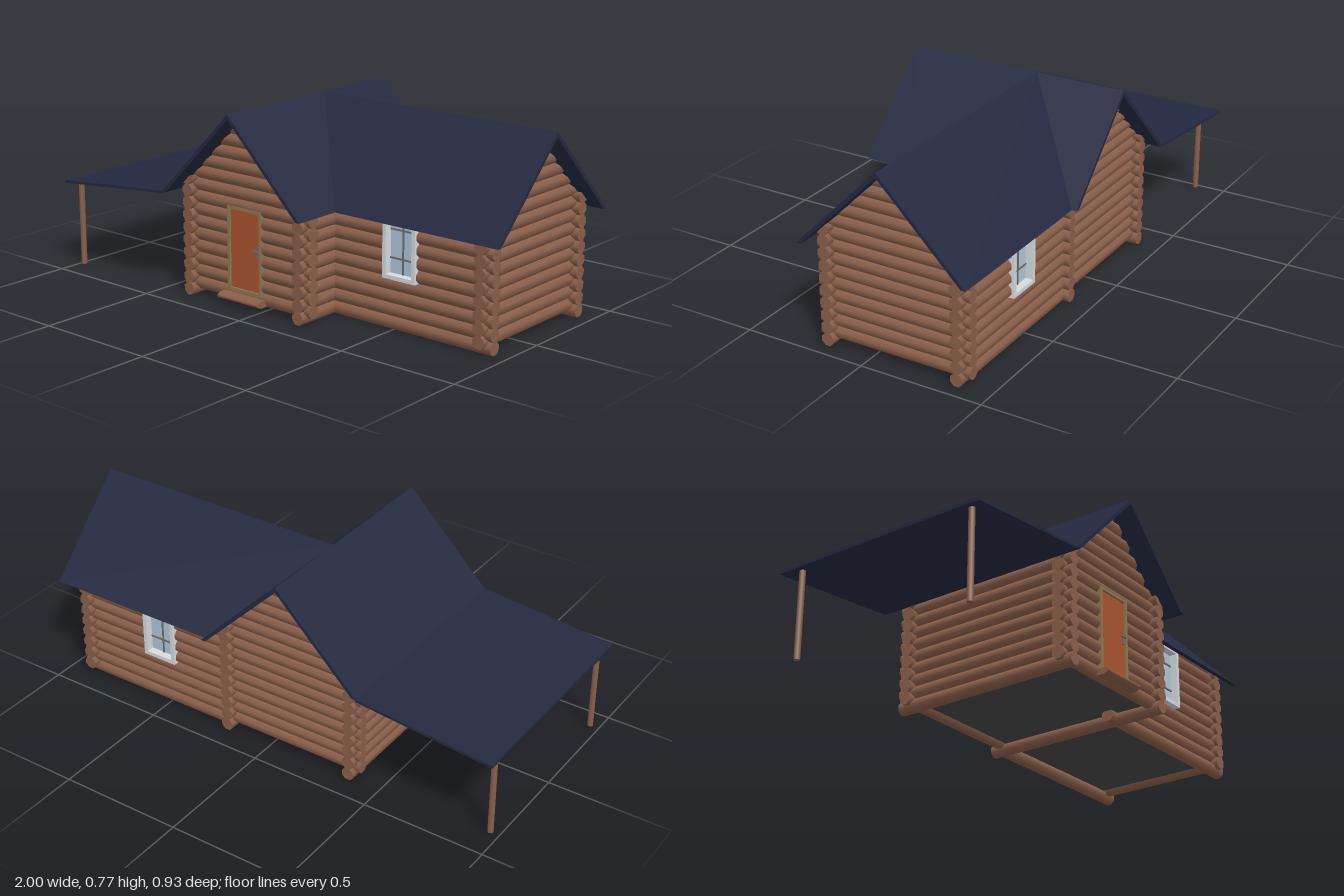
import * as THREE from 'three';

const mat = color => new THREE.MeshStandardMaterial({ color });
const wood = mat(0x8a5f4a), roofMat = mat(0x242940), floorMat = mat(0x484848);
const doorMat = mat(0xab5430), trim = mat(0x8f7a52), frameMat = mat(0xd8dcdf);
const glassMat = mat(0xb0c8dc), barMat = mat(0x6f6a62), metal = mat(0x6a6d72);

const R = 0.0268, STEP = 0.05;
const RIDGE = 0.775, EAVE = 0.422, T = 0.02, UNDER = RIDGE - T;
const AX = -0.083, BZ = -0.09; // ridge lines of the main house and the wing

function add(parent, name, geo, material, x = 0, y = 0, z = 0) {
  const m = new THREE.Mesh(geo, material);
  m.name = name;
  m.position.set(x, y, z);
  parent.add(m);
  return m;
}

const box = (parent, name, material, w, h, d, x, y, z) =>
  add(parent, name, new THREE.BoxGeometry(w, h, d), material, x, y, z);

// One log from a to b along an axis, trimmed to stay under the roof slope
function log(parent, axis, a, b, y, off, ridge, gable) {
  const geo = new THREE.CylinderGeometry(R, R, b - a, 8, 1, false, Math.PI / 8);
  if (axis === 'x') geo.rotateZ(Math.PI / 2); else geo.rotateX(Math.PI / 2);
  const mid = (a + b) / 2;
  if (axis === 'x') geo.translate(mid, y, off); else geo.translate(off, y, mid);
  const p = geo.attributes.position;
  for (let i = 0; i < p.count; i++) {
    const across = gable === (axis === 'x') ? p.getX(i) : p.getZ(i);
    const d = across - ridge;
    if (gable) {
      const half = Math.max(0, UNDER - p.getY(i));
      const c = ridge + THREE.MathUtils.clamp(d, -half, half);
      if (axis === 'x') p.setX(i, c); else p.setZ(i, c);
      p.setY(i, Math.min(p.getY(i), UNDER));
    } else {
      p.setY(i, Math.min(p.getY(i), UNDER - Math.abs(d)));
    }
  }
  add(parent, 'log', geo, wood);
}

// Stack of logs up to the peak or the eave; gap = [from, to, first row, last row]
function wall(parent, name, gable, axis, a, b, off, ridge, gap) {
  const g = new THREE.Group();
  g.name = name;
  const rows = gable ? 15 : 10, base = gable ? 0.049 : 0.026;
  for (let k = 0; k < rows; k++) {
    const y = base + k * STEP;
    const spans = gap && k >= gap[2] && k <= gap[3] ? [[a, gap[0]], [gap[1], b]] : [[a, b]];
    for (const [s, e] of spans) log(g, axis, s, e, y, off, ridge, gable);
  }
  parent.add(g);
}

// Roof panel: four corners, counter-clockwise from above, thickened downwards.
// A corner with an inward shift (dx, dz) is cut level instead, as at an eave.
function slab(parent, name, pts, t) {
  const top = pts.map(([x, y, z]) => new THREE.Vector3(x, y, z));
  const low = pts.map(([x, y, z, dx = 0, dz = 0]) =>
    new THREE.Vector3(x + dx, dx || dz ? y : y - t, z + dz));
  const v = [];
  const quad = (a, b, c, d) => [a, b, c, a, c, d].forEach(p => v.push(p.x, p.y, p.z));
  quad(...top);
  quad(low[3], low[2], low[1], low[0]);
  for (let i = 0; i < 4; i++) {
    const j = (i + 1) % 4;
    quad(low[i], low[j], top[j], top[i]);
  }
  const geo = new THREE.BufferGeometry();
  geo.setAttribute('position', new THREE.Float32BufferAttribute(v, 3));
  geo.computeVertexNormals();
  add(parent, name, geo, roofMat);
}

// Framed window with glass and glazing bars
function makeWindow(parent, name, x, z) {
  const g = new THREE.Group();
  g.name = name;
  g.position.set(x, 0.325, z);
  const w = 0.15, h = 0.25, f = 0.016, depth = 0.07;
  for (const s of [-1, 1]) {
    box(g, 'windowJamb', frameMat, f, h, depth, s * (w - f) / 2, 0, 0);
    box(g, 'windowRail', frameMat, w - 2 * f, f, depth, 0, s * (h - f) / 2, 0);
  }
  box(g, 'glass', glassMat, w - 2 * f, h - 2 * f, 0.008, 0, 0, 0);
  box(g, 'verticalBar', barMat, 0.006, h - 2 * f, 0.016, 0, 0, 0);
  for (const y of [-0.05, 0.06]) box(g, 'horizontalBar', barMat, w - 2 * f, 0.006, 0.016, 0, y, 0);
  parent.add(g);
}

export function createModel() {
  const house = new THREE.Group();
  house.name = 'logCabin';

  // Main house walls, with a doorway in the front
  wall(house, 'mainFrontWall', true, 'x', -0.405, 0.24, 0.35, AX, [-0.165, -0.005, 1, 6]);
  wall(house, 'mainBackWall', true, 'x', -0.405, 0.2, -0.365, AX);
  wall(house, 'mainRightWall', false, 'z', -0.41, 0.397, -0.365, AX);
  wall(house, 'mainLeftWall', false, 'z', -0.41, 0.397, 0.2, AX);

  // Wing walls and windows
  wall(house, 'wingEndWall', true, 'z', -0.41, 0.226, 0.9, BZ);
  for (const [side, z, start] of [['Front', 0.185, 0.14], ['Back', -0.365, 0.2]]) {
    wall(house, `wing${side}Wall`, false, 'x', start, 0.945, z, BZ, [0.465, 0.605, 4, 8]);
    makeWindow(house, `wing${side}Window`, 0.535, z);
  }

  // Floors
  box(house, 'mainFloor', floorMat, 0.53, 0.015, 0.68, -0.083, 0.05, -0.008);
  box(house, 'wingFloor', floorMat, 0.67, 0.015, 0.52, 0.55, 0.05, -0.09);

  // Roof panels meeting in two valleys
  const E = 0.27, W = -0.436, F = 0.463, ZF = 0.263, ZB = -0.443;
  const peak = [AX, RIDGE, BZ];
  const valleyFront = [E, EAVE, ZF, -T, -T], valleyBack = [E, EAVE, ZB, -T, T];
  slab(house, 'mainRoofRight', [[W, EAVE, F, T], [AX, RIDGE, F], [AX, RIDGE, -F], [W, EAVE, -F, T]], T);
  slab(house, 'mainRoofFront', [[AX, RIDGE, F], [E, EAVE, F, -T], valleyFront, peak], T);
  slab(house, 'mainRoofBack', [peak, valleyBack, [E, EAVE, -F, -T], [AX, RIDGE, -F]], T);
  slab(house, 'wingRoofFront', [valleyFront, [1, EAVE, ZF, 0, -T], [1, RIDGE, BZ], peak], T);
  slab(house, 'wingRoofBack', [peak, [1, RIDGE, BZ], [1, EAVE, ZB, 0, T], valleyBack], T);

  // Carport
  slab(house, 'carportRoof', [[-1, 0.371, F], [-0.43, 0.426, F], [-0.43, 0.426, -F], [-1, 0.371, -F]], 0.011);
  for (const z of [-0.38, 0.406])
    add(house, 'carportPost', new THREE.CylinderGeometry(0.012, 0.012, 0.355, 8), wood, -0.966, 0.1875, z);

  // Door, its frame, handle and step
  const door = new THREE.Group();
  door.name = 'door';
  door.position.set(-0.085, 0.229, 0.36);
  box(door, 'doorLeaf', doorMat, 0.152, 0.32, 0.02, 0, 0, 0);
  for (const s of [-1, 1]) {
    box(door, 'doorJamb', trim, 0.011, 0.334, 0.054, s * 0.0805, 0, -0.009);
    box(door, 'doorRail', trim, 0.152, 0.01, 0.036, 0, s * 0.162, 0);
  }
  box(door, 'handlePlate', metal, 0.012, 0.045, 0.004, 0.066, 0.005, 0.012);
  box(door, 'handle', metal, 0.024, 0.006, 0.006, 0.06, 0.01, 0.02);
  house.add(door);
  const step = new THREE.CylinderGeometry(0.036, 0.036, 0.21, 8, 1, false, Math.PI / 8);
  step.rotateZ(Math.PI / 2).scale(1, 0.4, 1);
  add(house, 'doorStep', step, wood, -0.085, 0.04, 0.385);

  return house;
}
